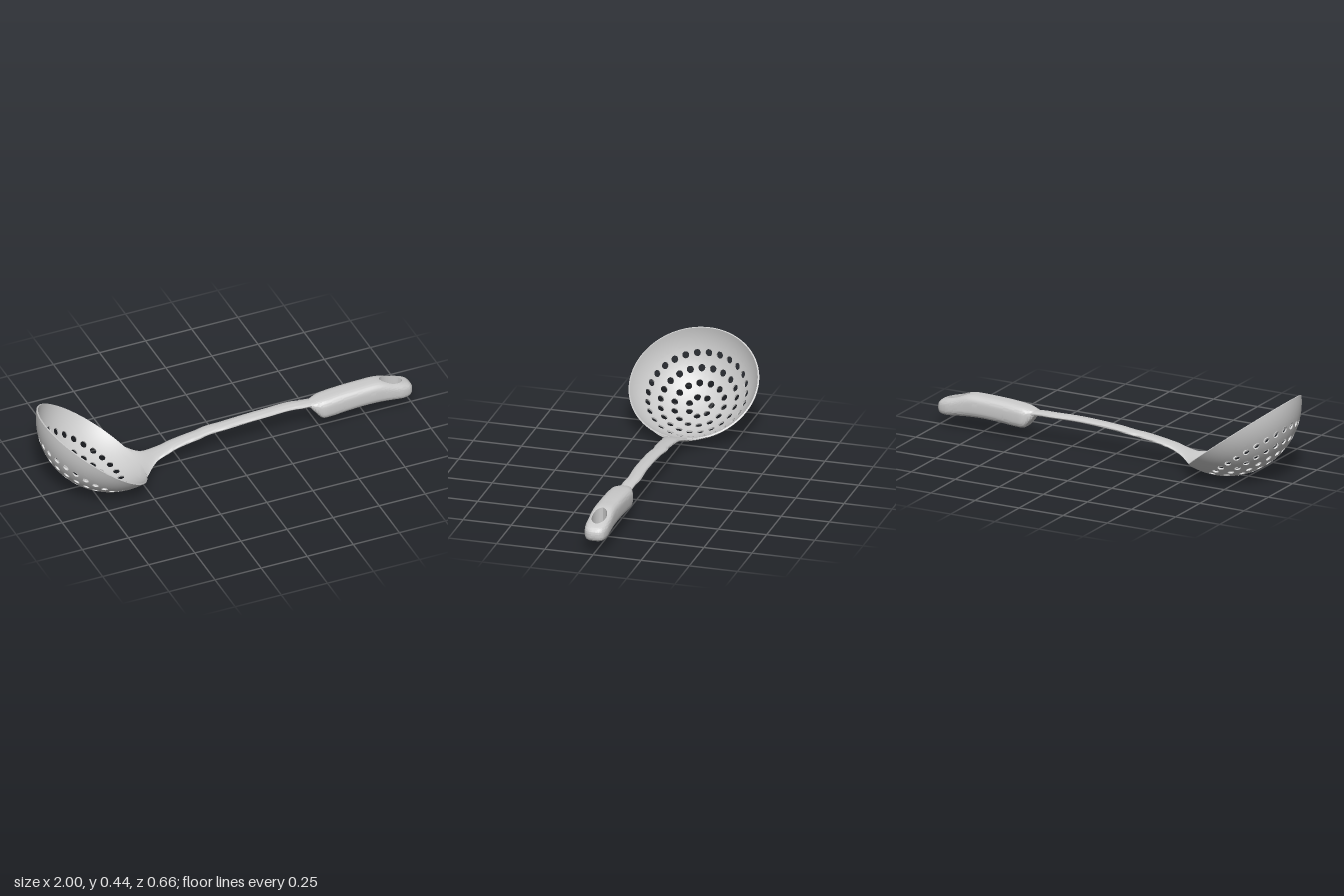
import * as THREE from 'three';
import { toCreasedNormals } from 'three/addons/utils/BufferGeometryUtils.js';

const V = (x, y, z) => new THREE.Vector3(x, y, z);

// Collects quads and turns them into a smooth mesh with sharp edges kept.
class Quads {
  constructor() { this.p = []; }
  add(a, b, c, d) {
    for (const v of [a, b, c, a, c, d]) this.p.push(v.x, v.y, v.z);
  }
  mesh(name, crease = 0.7) {
    const g = new THREE.BufferGeometry();
    g.setAttribute('position', new THREE.Float32BufferAttribute(this.p, 3));
    const m = new THREE.Mesh(toCreasedNormals(g, crease),
      new THREE.MeshStandardMaterial({ color: 0xcccccc, side: THREE.DoubleSide }));
    m.name = name;
    return m;
  }
}

// Bowl: a tilted spherical cap with rings of round holes.
const R = 0.368, WALL = 0.008, RIM = 1.112;
const CENTRE = V(-0.632, 0.37, 0), AXIS = V(-0.6, -0.8, 0), U = V(0.8, -0.6, 0);

function onBowl(theta, phi, inner) {
  const s = Math.sin(theta);
  const shift = 0.05 * (1 - (theta / RIM) ** 2); // rings sit slightly towards the handle
  return V(0, 0, s * Math.sin(phi))
    .addScaledVector(AXIS, Math.cos(theta))
    .addScaledVector(U, s * Math.cos(phi) + shift)
    .normalize().multiplyScalar(inner ? R - WALL : R).add(CENTRE);
}

function makeBowl() {
  const q = new Quads();
  // one patch on both faces of the wall, corners given as [theta, phi]
  const patch = (...c) => {
    q.add(...c.map(([t, f]) => onBowl(t, f, false)));
    q.add(...c.map(([t, f]) => onBowl(t, f, true)).reverse());
  };
  const wall = (a, b) => q.add(onBowl(...a, false), onBowl(...b, false),
    onBowl(...b, true), onBowl(...a, true));
  const plainBand = (t0, t1, rows, n) => {
    for (let i = 0; i < rows; i++) for (let j = 0; j < n; j++) {
      const a = t0 + (t1 - t0) * i / rows, b = t0 + (t1 - t0) * (i + 1) / rows;
      const f = j / n * 2 * Math.PI, g = (j + 1) / n * 2 * Math.PI;
      patch([a, f], [b, f], [b, g], [a, g]);
    }
  };

  // holes, each in the middle of its own cell
  const K = 24, HALF = 0.1, HOLE = 0.0475;
  [7, 14, 21, 27].forEach((count, ring) => {
    const mid = 0.16 + 0.2 * ring, halfPhi = Math.PI / count;
    for (let n = 0; n < count; n++) {
      const phi = (2 * n + (ring % 2)) * halfPhi;
      const point = (k, level) => {
        const a = k / K * 2 * Math.PI, c = Math.cos(a), s = Math.sin(a);
        const m = Math.max(Math.abs(c), Math.abs(s)), w = level / 2;
        const hole = [c * HOLE, s * HOLE / Math.sin(mid)];
        const edge = [c / m * HALF, s / m * halfPhi];
        return [mid + hole[0] + (edge[0] - hole[0]) * w, phi + hole[1] + (edge[1] - hole[1]) * w];
      };
      for (let k = 0; k < K; k++) {
        for (let l = 0; l < 2; l++) patch(point(k, l), point(k, l + 1), point(k + 1, l + 1), point(k + 1, l));
        wall(point(k, 0), point(k + 1, 0));
      }
    }
  });
  plainBand(0, 0.06, 1, 42);
  plainBand(0.86, RIM, 6, 108);
  for (let j = 0; j < 108; j++) {
    wall([RIM, (j + 1) / 108 * 2 * Math.PI], [RIM, j / 108 * 2 * Math.PI]);
  }
  return q.mesh('bowl');
}

// Stem: oval sections that flare and curl up into the rim of the bowl.
function makeStem() {
  const rows = [ // x, height, half width, half thickness, curl, sideways shift
    [-0.52, 0.025, 0.165, 0.004, 1.5, 0], [-0.49, 0.035, 0.14, 0.005, 1.4, 0],
    [-0.46, 0.045, 0.105, 0.007, 1.2, 0], [-0.43, 0.057, 0.075, 0.009, 0.8, -0.002],
    [-0.39, 0.075, 0.054, 0.011, 0.4, -0.004], [-0.3, 0.103, 0.042, 0.013, 0, -0.006],
    [-0.15, 0.127, 0.037, 0.013, 0, -0.008], [0, 0.142, 0.035, 0.013, 0, -0.008],
    [0.2, 0.152, 0.034, 0.013, 0, -0.008], [0.4, 0.15, 0.034, 0.013, 0, -0.008],
    [0.52, 0.14, 0.032, 0.013, 0, -0.006]];
  const first = new THREE.CatmullRomCurve3(rows.map(r => V(r[0], r[1], r[2])));
  const second = new THREE.CatmullRomCurve3(rows.map(r => V(r[3], r[4], r[5])));
  const N = 60, K = 28, q = new Quads();
  const point = (i, k) => {
    const a = first.getPoint(i / N), b = second.getPoint(i / N), w = k / K * 2 * Math.PI;
    const z = a.z * Math.cos(w);
    return V(a.x, a.y + b.x * Math.sin(w) + b.y * z * z, z + b.z);
  };
  for (let i = 0; i < N; i++) for (let k = 0; k < K; k++) {
    q.add(point(i, k), point(i, k + 1), point(i + 1, k + 1), point(i + 1, k));
  }
  return q.mesh('stem', 1.2);
}

// Handle: mirrored half sections, opened in the middle by the hanging hole.
function makeHandle() {
  const rows = [ // x, half width, top, bottom
    [0.45, 0.03, 0.158, 0.132], [0.475, 0.045, 0.165, 0.098], [0.505, 0.058, 0.173, 0.066],
    [0.55, 0.061, 0.179, 0.064], [0.63, 0.06, 0.186, 0.07], [0.73, 0.059, 0.19, 0.075],
    [0.82, 0.059, 0.189, 0.073], [0.89, 0.06, 0.168, 0.068], [0.945, 0.058, 0.152, 0.063],
    [0.98, 0.047, 0.138, 0.068], [0.995, 0.028, 0.122, 0.08], [1, 0.001, 0.104, 0.1]];
  const plan = new THREE.CatmullRomCurve3(rows.map(r => V(r[0], r[1], 0)));
  const side = new THREE.CatmullRomCurve3(rows.map(r => V(r[0], r[2], r[3])));
  const N = 150, M = 14, E = 3.2, q = new Quads();
  const sections = [];
  for (let i = 0; i <= N; i++) {
    const a = plan.getPoint(i / N), b = side.getPoint(i / N);
    const half = (b.y - b.z) / 2, mid = (b.y + b.z) / 2;
    const open = 0.036 * Math.sqrt(Math.max(0, 1 - ((a.x - 0.89) / 0.06) ** 2));
    const loop = [];
    for (let k = -M; k <= M; k++) { // from the bottom inside, round the flank, to the top inside
      const f = Math.cos(k / M * Math.PI / 2);
      const z = open + (a.y - open) * f;
      const h = Math.max(0, 1 - (z / a.y) ** E) ** (1 / E);
      loop.push(V(a.x, mid + Math.sign(k) * half * h, z));
    }
    sections.push({ open, loop });
  }
  for (const s of [1, -1]) {
    const quad = (...c) => {
      const m = c.map(v => V(v.x, v.y, v.z * s));
      q.add(...(s > 0 ? m : m.reverse()));
    };
    for (let i = 0; i < N; i++) {
      const a = sections[i], b = sections[i + 1];
      for (let k = 0; k < 2 * M; k++) quad(a.loop[k], b.loop[k], b.loop[k + 1], a.loop[k + 1]);
      // wall of the hanging hole
      if (a.open || b.open) quad(a.loop[2 * M], b.loop[2 * M], b.loop[0], a.loop[0]);
    }
  }
  return q.mesh('handle', 0.9);
}

export function createModel() {
  const model = new THREE.Group();
  model.name = 'skimmerLadle';
  model.add(makeBowl(), makeStem(), makeHandle());
  return model;
}
